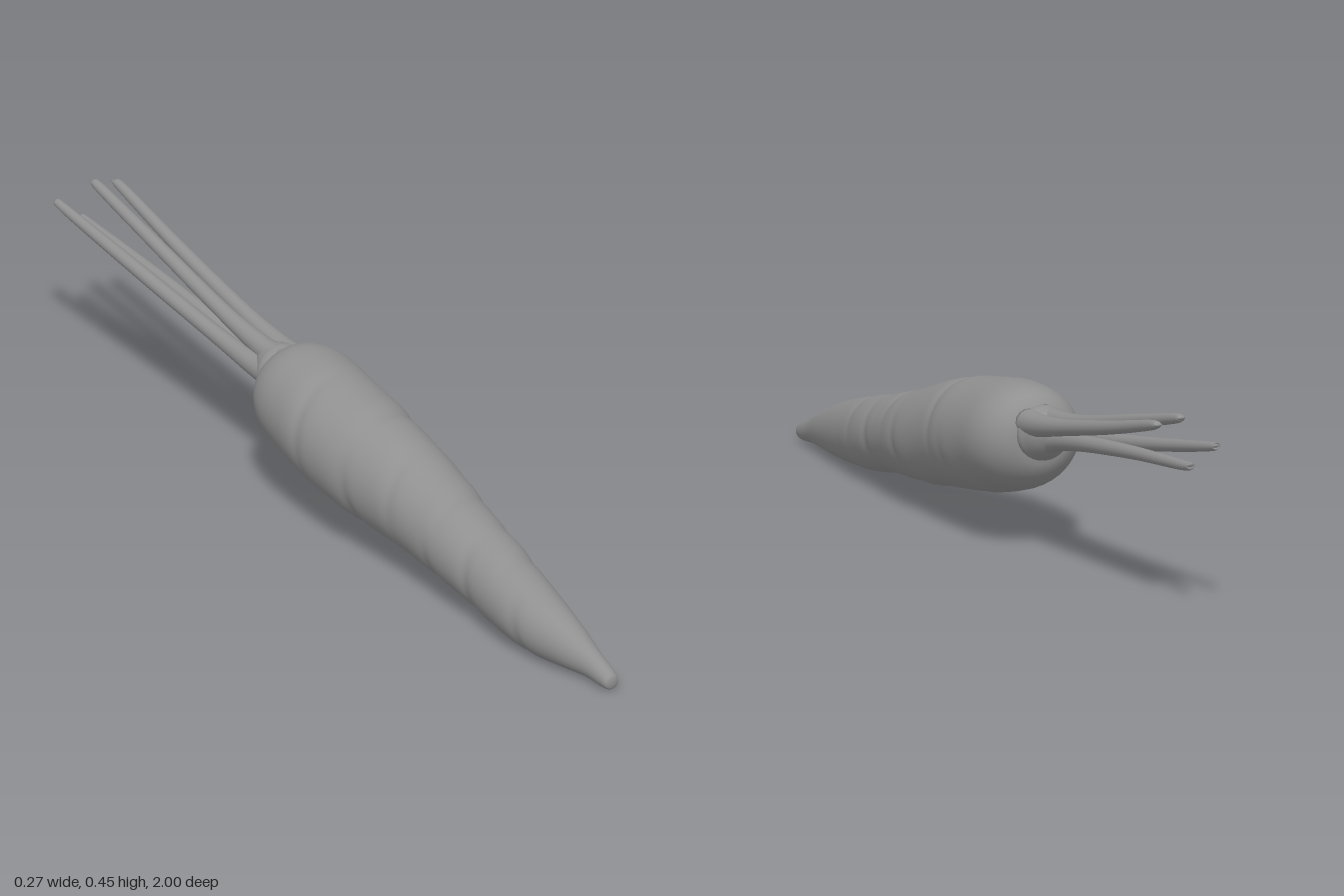
import * as THREE from 'three';

const material = new THREE.MeshStandardMaterial({ color: 0x909090 });

// Smooth skin through elliptical sections [z, left, right, bottom, top], ordered from +z to -z.
// shape(z, angle) scales the radius for surface detail.
function loft(name, sections, rings, sides, shape = () => 1) {
  const centers = new THREE.CatmullRomCurve3(
    sections.map(([z, l, r, b, t]) => new THREE.Vector3((l + r) / 2, (b + t) / 2, z)), false, 'catmullrom');
  const radii = new THREE.CatmullRomCurve3(
    sections.map(([z, l, r, b, t]) => new THREE.Vector3((r - l) / 2, (t - b) / 2, z)), false, 'catmullrom');
  const positions = [], index = [];
  for (let i = 0; i <= rings; i++) {
    const c = centers.getPoint(i / rings), r = radii.getPoint(i / rings);
    for (let j = 0; j < sides; j++) {
      const a = (j / sides) * Math.PI * 2, s = shape(c.z, a);
      positions.push(c.x + r.x * s * Math.cos(a), c.y + r.y * s * Math.sin(a), c.z);
    }
  }
  for (let i = 0; i < rings; i++) {
    for (let j = 0; j < sides; j++) {
      const k = (j + 1) % sides;
      const a = i * sides + j, b = i * sides + k, c = a + sides, d = b + sides;
      index.push(a, c, b, b, c, d);
    }
  }
  // end caps
  for (const [first, flip] of [[0, false], [rings * sides, true]]) {
    const c = centers.getPoint(flip ? 1 : 0), hub = positions.length / 3;
    positions.push(c.x, c.y, c.z);
    for (let j = 0; j < sides; j++) {
      const a = first + j, b = first + (j + 1) % sides;
      if (flip) index.push(hub, b, a); else index.push(hub, a, b);
    }
  }
  const geometry = new THREE.BufferGeometry();
  geometry.setAttribute('position', new THREE.Float32BufferAttribute(positions, 3));
  geometry.setIndex(index);
  geometry.computeVertexNormals();
  const mesh = new THREE.Mesh(geometry, material);
  mesh.name = name;
  return mesh;
}

// Shallow slanted creases, each fading out around the side: [z, angle in degrees, depth]
const creases = [
  [-0.02, 150, 0.03], [0.02, 300, 0.03], [0.12, 50, 0.035], [0.16, 215, 0.035],
  [0.27, 130, 0.035], [0.30, 330, 0.04], [0.41, 75, 0.035], [0.43, 235, 0.04],
  [0.50, 0, 0.04], [0.55, 170, 0.04], [0.63, 60, 0.035], [0.66, 285, 0.04], [0.74, 190, 0.04],
];

function wrinkle(z, angle) {
  let s = 1;
  for (const [cz, deg, depth] of creases) {
    const offset = angle - deg * Math.PI / 180;
    const around = Math.max(0, Math.cos(offset)) ** 1.5;
    const d = z - cz - 0.02 * Math.sin(offset);
    s -= depth * around * Math.exp(-((d / 0.016) ** 2));
    s += depth * 0.4 * around * Math.exp(-(((d + 0.045) / 0.035) ** 2));
  }
  return s;
}

// One leaf stalk along [x, y, z, radius] points, ending in a flat chisel tip
function stalk(name, points, tipZ) {
  const sections = points.map(([x, y, z, r]) => [z, x - r, x + r, y - r, y + r]);
  const [x, y] = points[points.length - 1];
  sections.push([tipZ, x - 0.008, x + 0.008, y + 0.005, y + 0.011]);
  return loft(name, sections, 40, 14);
}

export function createModel() {
  const group = new THREE.Group();
  group.name = 'carrot';

  // tapering root, lying with its tip on the ground
  group.add(loft('root', [
    [1.0, -0.006, 0.006, 0.016, 0.028],
    [0.994, -0.018, 0.018, 0.005, 0.04],
    [0.97, -0.023, 0.023, 0.003, 0.053],
    [0.92, -0.032, 0.028, 0.006, 0.074],
    [0.85, -0.056, 0.041, 0.003, 0.106],
    [0.76, -0.079, 0.055, 0.000, 0.139],
    [0.65, -0.085, 0.070, 0.007, 0.169],
    [0.55, -0.083, 0.084, 0.020, 0.194],
    [0.45, -0.091, 0.092, 0.037, 0.221],
    [0.35, -0.093, 0.108, 0.046, 0.248],
    [0.25, -0.103, 0.115, 0.054, 0.283],
    [0.15, -0.120, 0.118, 0.067, 0.315],
    [0.05, -0.132, 0.126, 0.080, 0.336],
    [-0.05, -0.132, 0.129, 0.098, 0.354],
    [-0.13, -0.125, 0.132, 0.117, 0.362],
    [-0.18, -0.115, 0.123, 0.134, 0.359],
    [-0.215, -0.097, 0.102, 0.158, 0.344],
    [-0.236, -0.070, 0.073, 0.188, 0.318],
    [-0.243, -0.035, 0.037, 0.225, 0.290],
  ], 180, 40, wrinkle));

  // collar where the stalks join the root
  group.add(loft('collar', [
    [-0.215, -0.056, 0.058, 0.212, 0.328],
    [-0.245, -0.062, 0.064, 0.208, 0.332],
    [-0.262, -0.056, 0.058, 0.214, 0.330],
    [-0.285, -0.042, 0.046, 0.230, 0.324],
    [-0.315, -0.015, 0.018, 0.258, 0.305],
  ], 24, 28));

  // four leaf stalks fanning out from the collar
  const stalks = [
    ['rightStalk', -1.0, [-0.031, 0.272, -0.23, 0.031], [-0.034, 0.276, -0.31, 0.025],
      [-0.037, 0.291, -0.44, 0.019], [-0.047, 0.333, -0.70, 0.016], [-0.060, 0.382, -0.97, 0.011]],
    ['upperStalk', -0.945, [-0.006, 0.299, -0.23, 0.032], [-0.007, 0.307, -0.31, 0.025],
      [-0.008, 0.330, -0.44, 0.019], [-0.006, 0.385, -0.68, 0.016], [-0.004, 0.438, -0.91, 0.012]],
    ['leftStalk', -0.94, [0.033, 0.294, -0.23, 0.031], [0.035, 0.302, -0.31, 0.025],
      [0.037, 0.325, -0.44, 0.019], [0.042, 0.375, -0.68, 0.016], [0.049, 0.426, -0.90, 0.012]],
    ['lowerStalk', -0.98, [0.003, 0.240, -0.23, 0.032], [0.000, 0.265, -0.31, 0.025],
      [-0.003, 0.286, -0.44, 0.019], [-0.007, 0.317, -0.70, 0.015], [-0.009, 0.340, -0.95, 0.011]],
  ];
  for (const [name, tipZ, ...points] of stalks) group.add(stalk(name, points, tipZ));

  return group;
}
